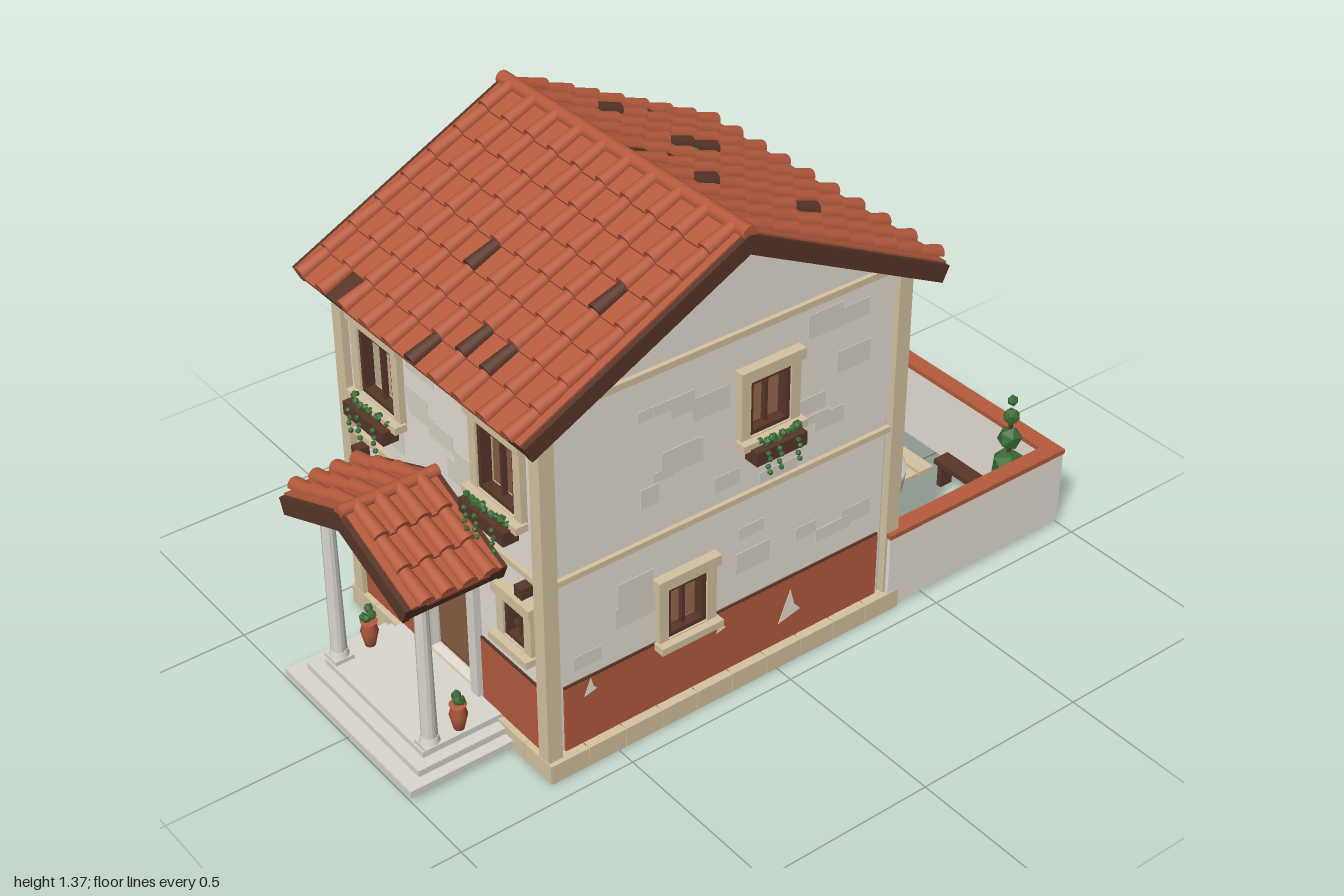
import * as THREE from 'three';

const mat = (name, color) => Object.assign(new THREE.MeshStandardMaterial({ color }), { name });
const M = {
  plaster: mat('plaster', 0xe6e1d6), shade: mat('weatheredPlaster', 0xdbd5c8),
  clay: mat('terracotta', 0xb65b3d), wood: mat('darkTimber', 0x583628),
  stone: mat('limestone', 0xd5c4a0), marble: mat('marble', 0xd9d6cd),
  water: mat('water', 0x5ba6bc), leaf: mat('foliage', 0x3a6a34),
  plank: mat('plankTimber', 0x74503a), moss: mat('mossyTile', 0x5c8b3a),
};
let seed = 7;
const rnd = () => (seed = (seed * 16807) % 2147483647) / 2147483647;

function add(parent, name, geo, material, x = 0, y = 0, z = 0) {
  const m = new THREE.Mesh(geo, material);
  m.name = name;
  m.position.set(x, y, z);
  parent.add(m);
  return m;
}
function group(parent, name, x = 0, y = 0, z = 0, ry = 0) {
  const g = new THREE.Group();
  g.name = name;
  g.position.set(x, y, z);
  g.rotation.y = ry;
  parent.add(g);
  return g;
}
const box = (p, name, m, w, h, d, x, y, z) => add(p, name, new THREE.BoxGeometry(w, h, d), m, x, y, z);
const cyl = (p, name, m, rt, rb, h, x, y, z, n = 16) => add(p, name, new THREE.CylinderGeometry(rt, rb, h, n), m, x, y, z);
const bush = (p, r, x, y, z) => add(p, 'foliage', new THREE.IcosahedronGeometry(r, 0), M.leaf, x, y, z).rotation.set(rnd() * 3, rnd() * 3, 0);
const lathe = (p, name, m, pts, x, y, z, n = 20) =>
  add(p, name, new THREE.LatheGeometry(pts.map(a => new THREE.Vector2(...a)), n), m, x, y, z);
const poly = pts => new THREE.Shape(pts.map(a => new THREE.Vector2(...a)));
const extrude = (shape, depth) => new THREE.ExtrudeGeometry(shape, { depth, bevelEnabled: false });
const rect = (cx, cy, w, h) => [[cx - w / 2, cy - h / 2], [cx + w / 2, cy - h / 2], [cx + w / 2, cy + h / 2], [cx - w / 2, cy + h / 2]];
function pierced(pts, holes) {
  const s = poly(pts);
  holes.forEach(h => s.holes.push(new THREE.Path(rect(...h).reverse().map(a => new THREE.Vector2(...a)))));
  return s;
}
const frame = (p, name, m, cx, cy, w, h, t, d, z) =>
  add(p, name, extrude(pierced(rect(cx, cy, w, h), [[cx, cy, w - 2 * t, h - 2 * t]]), d), m, 0, 0, z);

// Wall whose outer face is local z = 0, with an inner lining and worn patches clear of the openings
function wall(p, half, pts, holes) {
  const s = pierced(pts, holes);
  add(p, 'wall', extrude(s, 0.026), M.plaster, 0, 0, -0.026);
  add(p, 'wallLining', extrude(s, 0.004), M.stone, 0, 0, -0.03);
  for (let k = 0; k < 30; k++) {
    const w = 0.05 + rnd() * 0.08, h = 0.025 + rnd() * 0.05;
    const x = (rnd() - 0.5) * (half * 2 - 0.22), y = 0.3 + rnd() * 0.68;
    const clear = holes.every(o => Math.abs(x - o[0]) > (w + o[2]) / 2 || Math.abs(y - o[1]) > (h + o[3]) / 2);
    if (clear) box(p, 'wornPlaster', M.shade, w, h, 0.002, x, y, 0.0002 + k * 0.00002);
  }
}

// Timber window: bars across, optional stone surround, pediment and flower box
function makeWindow(p, cx, cy, w, h, { surround = true, rows = 1, pediment = false, flowers = false } = {}) {
  const g = group(p, 'window', cx, cy, 0);
  frame(g, 'windowFrame', M.wood, 0, 0, w, h, surround ? 0.012 : 0.006, 0.03, -0.018);
  box(g, 'mullion', M.wood, surround ? 0.009 : 0.005, h, 0.014, 0, 0, -0.008);
  for (let i = 1; i < rows; i++) box(g, 'glazingBar', M.wood, w, surround ? 0.008 : 0.005, 0.012, 0, -h / 2 + h * i / rows, -0.008);
  if (surround) {
    frame(g, 'surround', M.stone, 0, 0, w + 0.055, h + 0.055, 0.028, 0.018, 0);
    box(g, 'lintel', M.stone, w + 0.07, 0.03, 0.03, 0, h / 2 + 0.025, 0.012);
  } else {
    frame(g, 'outerFrame', M.wood, 0, 0, w + 0.03, h + 0.02, 0.016, 0.014, 0);
    box(g, 'lintel', M.wood, w + 0.06, 0.02, 0.035, 0, h / 2 + 0.01, 0.012);
  }
  box(g, 'sill', M.stone, w + 0.07, 0.02, surround ? 0.035 : 0.06, 0, -h / 2 - 0.012, 0.022);
  if (pediment) {
    add(g, 'pediment', extrude(poly([[-0.118, 0], [0.118, 0], [0.118, 0.012], [0, 0.05], [-0.118, 0.012]]), 0.035), M.stone, 0, h / 2 + 0.035, 0);
    add(g, 'pedimentPanel', extrude(poly([[-0.07, 0], [0.07, 0], [0, 0.024]]), 0.006), M.plaster, 0, h / 2 + 0.047, 0.031);
  }
  if (flowers) {
    const b = group(g, 'flowerBox', 0, -h / 2 - 0.036, 0.04);
    box(b, 'planter', M.wood, w + 0.03, 0.038, 0.045, 0, 0, 0);
    for (let i = 0; i < 9; i++) bush(b, 0.008 + rnd() * 0.006, (i / 8 - 0.5) * w, 0.023 + rnd() * 0.01, (rnd() - 0.5) * 0.02);
    for (const s of [-0.38, -0.1, 0.36]) for (let k = 0; k < 4; k++)
      bush(b, 0.0075, s * w + (k % 2) * 0.006, 0.012 - k * 0.019, 0.028);
  }
}

// Tiled slope falling from the local origin; local y is up the slope, z its normal
function tiledSlope(p, name, x, y, z, ry, pitch, width, length, rows, covers, odd = {}) {
  const holder = group(p, name, x, y, z, ry), g = group(holder, 'slope');
  g.rotation.x = pitch - Math.PI / 2;
  box(g, 'roofDeck', M.wood, width, length, 0.025, 0, -length / 2, -0.0125);
  for (const s of [-1, 1]) box(g, 'bargeBoard', M.wood, 0.018, length, 0.046, s * (width / 2 - 0.006), -length / 2, -0.018);
  box(g, 'fascia', M.wood, width, 0.014, 0.036, 0, -length + 0.008, -0.018);
  const step = length / rows, gap = (width - 0.1) / (covers - 1);
  const pan = new THREE.BoxGeometry(gap * 0.98, step * 1.12, 0.01);
  const cover = new THREE.CylinderGeometry(0.017, 0.022, step * 1.1, 8, 1, false, -Math.PI / 2, Math.PI);
  for (let r = 0; r < rows; r++) for (let c = 0; c < covers * 2 - 1; c++) {
    const isPan = c % 2, m = odd[r + ',' + c] || M.clay;
    const t = add(g, isPan ? 'panTile' : 'coverTile', isPan ? pan : cover, m,
      -width / 2 + 0.05 + c * gap / 2, -step * (r + 0.52), isPan ? 0.007 : 0.011);
    t.rotation.x = -0.08;
  }
  // Outermost half pans
  for (const s of [-1, 1]) box(g, 'edgeTiles', M.clay, 0.04, length, 0.012, s * (width / 2 - 0.032), -length / 2, 0.004);
}

function topiary(p, x, z) {
  const g = group(p, 'topiary', x, 0, z);
  cyl(g, 'pot', M.clay, 0.035, 0.025, 0.07, 0, 0.035, 0, 10);
  cyl(g, 'trunk', M.wood, 0.006, 0.006, 0.3, 0, 0.21, 0, 6);
  [[0.056, 0.11], [0.048, 0.19], [0.035, 0.275], [0.025, 0.345], [0.016, 0.396]].forEach(([r, y]) => bush(g, r, 0, y, 0));
}

export function createModel() {
  const model = new THREE.Group();
  model.name = 'villa';
  const C = 0.145, HX = 0.415, HZ = 0.535, H = 1.035;

  // Four faces, each in a frame facing outward
  const front = group(model, 'frontFace', 0, 0, C + HZ, 0);
  const back = group(model, 'backFace', 0, 0, C - HZ, Math.PI);
  const left = group(model, 'leftFace', HX, 0, C, Math.PI / 2);
  const right = group(model, 'rightFace', -HX, 0, C, -Math.PI / 2);
  const flat = rect(0, H / 2, HX * 2, H);
  const gable = [[-HZ, 0], [HZ, 0], [HZ, 1.044], [0, 1.312], [-HZ, 1.044]];
  const upper = s => [s * 0.251, 0.82, 0.15, 0.187], lower = s => [s * 0.302, 0.398, 0.086, 0.106];
  const backW = [[-0.075, 0.34, 0.056, 0.12], [0.12, 0.835, 0.056, 0.12]];
  const leftW = [[0.115, 0.825, 0.125, 0.155], [-0.132, 0.332, 0.12, 0.15]];
  const rightW = [[0.06, 0.835, 0.056, 0.12], [0, 0.34, 0.056, 0.12]];
  wall(front, HX, flat, [upper(-1), upper(1), lower(-1), lower(1), [0, 0.27, 0.21, 0.42]]);
  wall(back, HX, flat, backW);
  wall(left, HZ, gable, leftW);
  wall(right, HZ, gable, rightW);
  for (const s of [-1, 1]) {
    makeWindow(front, ...upper(s), { pediment: true, flowers: true });
    makeWindow(front, ...lower(s), { rows: 3 });
  }
  [...backW.map(w => [back, w]), ...rightW.map(w => [right, w])].forEach(([f, w]) => makeWindow(f, ...w, { surround: false, rows: 3 }));
  leftW.forEach((w, i) => makeWindow(left, ...w, { flowers: i === 0 }));

  // Courses, painted dado with chips
  for (const [f, h] of [[front, HX], [back, HX], [left, HZ], [right, HZ]])
    box(f, 'middleCourse', M.stone, h * 2, 0.016, 0.024, 0, 0.572, 0);
  for (const f of [left, right]) {
    box(f, 'gableCourse', M.stone, HZ * 2 - 0.03, 0.018, 0.024, 0, 1.043, 0);
    box(f, 'dado', M.clay, 0.99, 0.192, 0.008, 0, 0.152, 0.002);
    box(f, 'dadoEdge', M.wood, 0.99, 0.005, 0.008, 0, 0.25, 0.002);
    [[-0.42, 0.22, 0.045], [-0.02, 0.205, 0.035], [0.2, 0.16, 0.085]].forEach(([x, y, s]) =>
      add(f, 'chippedPlaster', extrude(poly([[-s * 0.4, -s * 0.5], [s * 0.45, -s * 0.3], [s * 0.2, 0], [s * 0.05, s * 0.6], [-s * 0.2, 0]]), 0.002), M.plaster, x, y, 0.005));
  }
  for (const s of [-1, 1]) {
    box(front, 'dado', M.clay, 0.26, 0.192, 0.008, s * 0.268, 0.152, 0.002);
    box(front, 'dadoEdge', M.wood, 0.26, 0.005, 0.008, s * 0.268, 0.25, 0.002);
    box(front, 'beamEnd', M.wood, 0.03, 0.03, 0.05, s * 0.352, 0.535, 0.01);
    for (const e of [-1, 1]) box(model, 'cornerPilaster', M.stone, 0.04, 0.985, 0.042, s * 0.413, 0.54, C + e * 0.534);
  }
  for (let i = 0; i < 10; i++) box(front, 'rafterEnd', M.wood, 0.018, 0.03, 0.04, -0.43 + i * 0.0955, 0.995, 0.02);

  // Stone plinth, plank floors and indoor table
  for (const s of [-1, 1]) {
    for (let i = 0; i < 8; i++) box(model, 'plinthStone', M.stone, 0.1095, 0.056, 0.05, -0.39 + i * 0.1114, 0.028, C + s * 0.532);
    for (let i = 0; i < 10; i++) box(model, 'plinthStone', M.stone, 0.05, 0.056, 0.109, s * 0.421, 0.028, C - 0.4995 + i * 0.111);
  }
  box(model, 'foundation', M.wood, 0.86, 0.05, 1.08, 0, 0.03, C);
  for (let i = 0; i < 16; i++) for (const y of [0.06, 0.568])
    box(model, 'floorPlank', M.plank, 0.78, 0.014, 0.0625, 0, y, C - 0.4725 + i * 0.063);
  const table = group(model, 'table', 0.04, 0.066, 0.15);
  box(table, 'tableTop', M.wood, 0.15, 0.012, 0.09, 0, 0.12, 0);
  for (const x of [-0.06, 0.06]) box(table, 'tableLeg', M.wood, 0.012, 0.12, 0.07, x, 0.06, 0);
  lathe(table, 'bowl', M.wood, [[0, 0], [0.014, 0], [0.026, 0.014], [0.02, 0.012], [0, 0.006]], -0.015, 0.126, 0, 12);

  // Main roof
  const pitch = Math.atan(0.5), L = 0.622 / Math.cos(pitch);
  const w = M.wood;
  tiledSlope(model, 'frontRoof', 0, 1.34, C, 0, pitch, 0.96, L, 8, 10,
    { '3,16': w, '4,8': w, '7,3': w, '7,10': w, '6,12': w, '6,14': w });
  tiledSlope(model, 'backRoof', 0, 1.34, C, Math.PI, pitch, 0.96, L, 8, 10,
    { '4,17': w, '4,12': w, '3,12': w, '4,4': w, '2,16': w, '1,9': w, '0,9': w, '1,6': w, '3,11': M.moss });
  cyl(model, 'ridgeTiles', M.clay, 0.02, 0.02, 0.96, 0, 1.346, C, 10).rotation.z = Math.PI / 2;

  // Door surround
  for (const s of [-1, 1]) box(front, 'doorJamb', M.marble, 0.032, 0.42, 0.025, s * 0.12, 0.27, 0.008);
  box(front, 'doorLintel', M.marble, 0.36, 0.05, 0.035, 0, 0.502, 0.012);

  // Portico with steps, fluted columns, pots and small tiled roof
  const porch = group(model, 'portico');
  [[0.287, 0.011, 0.03, 0.945, 1.0], [0.255, 0.026, 0.048, 0.9, 0.955], [0.222, 0.042, 0.065, 0.69, 0.92]].forEach(([x, y0, y1, z0, z1]) =>
    box(porch, 'step', M.marble, x * 2, y1 - y0, z1 - z0, 0, (y0 + y1) / 2, (z0 + z1) / 2));
  for (const s of [-1, 1]) {
    box(porch, 'sideStep', M.marble, 0.06, 0.019, 0.26, s * 0.257, 0.0205, 0.82);
    box(porch, 'sideStep', M.marble, 0.045, 0.022, 0.215, s * 0.2325, 0.037, 0.7975);
  }
  const shaft = new THREE.CylinderGeometry(0.018, 0.021, 0.4, 24, 1);
  const pos = shaft.attributes.position;
  for (let i = 0; i < pos.count; i++) {
    const k = Math.round(Math.atan2(pos.getX(i), pos.getZ(i)) / (Math.PI / 12));
    if (k % 2) { pos.setX(i, pos.getX(i) * 0.85); pos.setZ(i, pos.getZ(i) * 0.85); }
  }
  shaft.computeVertexNormals();
  for (const s of [-1, 1]) {
    const c = group(porch, 'column', s * 0.205, 0.065, 0.888);
    box(c, 'columnPlinth', M.marble, 0.055, 0.012, 0.055, 0, 0.006, 0);
    cyl(c, 'columnBase', M.marble, 0.022, 0.026, 0.016, 0, 0.02, 0);
    add(c, 'columnShaft', shaft, M.marble, 0, 0.228, 0);
    cyl(c, 'capital', M.marble, 0.028, 0.018, 0.02, 0, 0.435, 0);
    box(c, 'abacus', M.marble, 0.058, 0.015, 0.058, 0, 0.4525, 0);
    const pot = group(porch, 'plantPot', s * 0.2, 0.065, 0.8);
    lathe(pot, 'pot', M.clay, [[0, 0], [0.014, 0], [0.024, 0.045], [0.018, 0.068], [0.023, 0.075], [0, 0.072]], 0, 0, 0, 12);
    for (let i = 0; i < 5; i++) bush(pot, 0.013, (rnd() - 0.5) * 0.025, 0.08 + i * 0.006, (rnd() - 0.5) * 0.025);
    box(porch, 'sideBeam', M.marble, 0.045, 0.035, 0.22, s * 0.205, 0.542, 0.8);
    tiledSlope(porch, 'porchRoof', 0, 0.667, 0.832, s * Math.PI / 2, 0.39, 0.275, 0.3, 3, 4);
  }
  box(porch, 'frontBeam', M.marble, 0.45, 0.035, 0.05, 0, 0.542, 0.888);
  add(porch, 'tympanum', extrude(poly([[-0.2, 0], [0.2, 0], [0, 0.08]]), 0.03), M.plaster, 0, 0.558, 0.88);
  for (let i = 0; i < 7; i++) box(porch, 'beamEnd', M.wood, 0.018, 0.018, 0.02, -0.165 + i * 0.055, 0.541, 0.7);
  add(porch, 'wreath', new THREE.TorusGeometry(0.026, 0.006, 6, 16), M.stone, 0, 0.603, 0.914);
  add(porch, 'wreathAccent', new THREE.TorusGeometry(0.026, 0.007, 6, 6, 1.4), M.clay, 0, 0.603, 0.915);
  cyl(porch, 'porchRidge', M.clay, 0.017, 0.017, 0.275, 0, 0.674, 0.832, 10).rotation.x = Math.PI / 2;

  // Walled garden
  const garden = group(model, 'garden');
  const wallBox = (wd, d, x, z) => {
    box(garden, 'gardenWall', M.plaster, wd, 0.224, d, x, 0.122, z);
    box(garden, 'coping', M.clay, wd + 0.006, 0.014, d + 0.006, x, 0.239, z);
  };
  for (const s of [-1, 1]) {
    wallBox(0.042, 0.58, s * 0.423, -0.665);
    topiary(garden, s * 0.345, -0.89);
    for (let i = 0; i < 8; i++) bush(garden, 0.023 + rnd() * 0.007, s * 0.33 + (rnd() - 0.5) * 0.01, 0.03 + rnd() * 0.012, -0.49 - i * 0.032);
  }
  wallBox(0.888, 0.042, 0, -0.976);
  for (const z of [-0.45, -0.52, -0.575, -0.81, -0.87]) box(garden, 'pavingSlab', M.stone, 0.118, 0.012, 0.05, 0, 0.012, z);
  cyl(garden, 'fountainBasin', M.marble, 0.115, 0.105, 0.062, 0, 0.036, -0.69, 28);
  lathe(garden, 'basinRim', M.marble, [[0.115, 0.065], [0.115, 0.08], [0.1, 0.08], [0.1, 0.066]], 0, 0, -0.69, 28);
  cyl(garden, 'fountainWater', M.water, 0.1, 0.1, 0.006, 0, 0.068, -0.69, 28);
  lathe(garden, 'fountainBowl', M.marble, [[0.022, 0.06], [0.012, 0.09], [0.012, 0.14], [0.043, 0.165], [0.043, 0.172], [0.01, 0.166], [0, 0.18]], 0, 0, -0.69);
  const bench = group(garden, 'bench', 0.205, 0, -0.872);
  box(bench, 'seat', M.wood, 0.19, 0.015, 0.052, 0, 0.085, 0);
  for (const x of [-0.075, 0.075]) box(bench, 'benchLeg', M.wood, 0.016, 0.075, 0.042, x, 0.046, 0);
  const statue = group(garden, 'statue', -0.215, 0, -0.86);
  box(statue, 'pedestal', M.marble, 0.066, 0.15, 0.066, 0, 0.085, 0);
  lathe(statue, 'figure', M.marble, [[0.024, 0.15], [0.02, 0.2], [0.024, 0.265], [0.018, 0.288], [0.007, 0.297], [0, 0.3]], 0, 0, 0, 12);
  add(statue, 'head', new THREE.IcosahedronGeometry(0.017, 1), M.marble, 0, 0.314, 0);
  return model;
}
